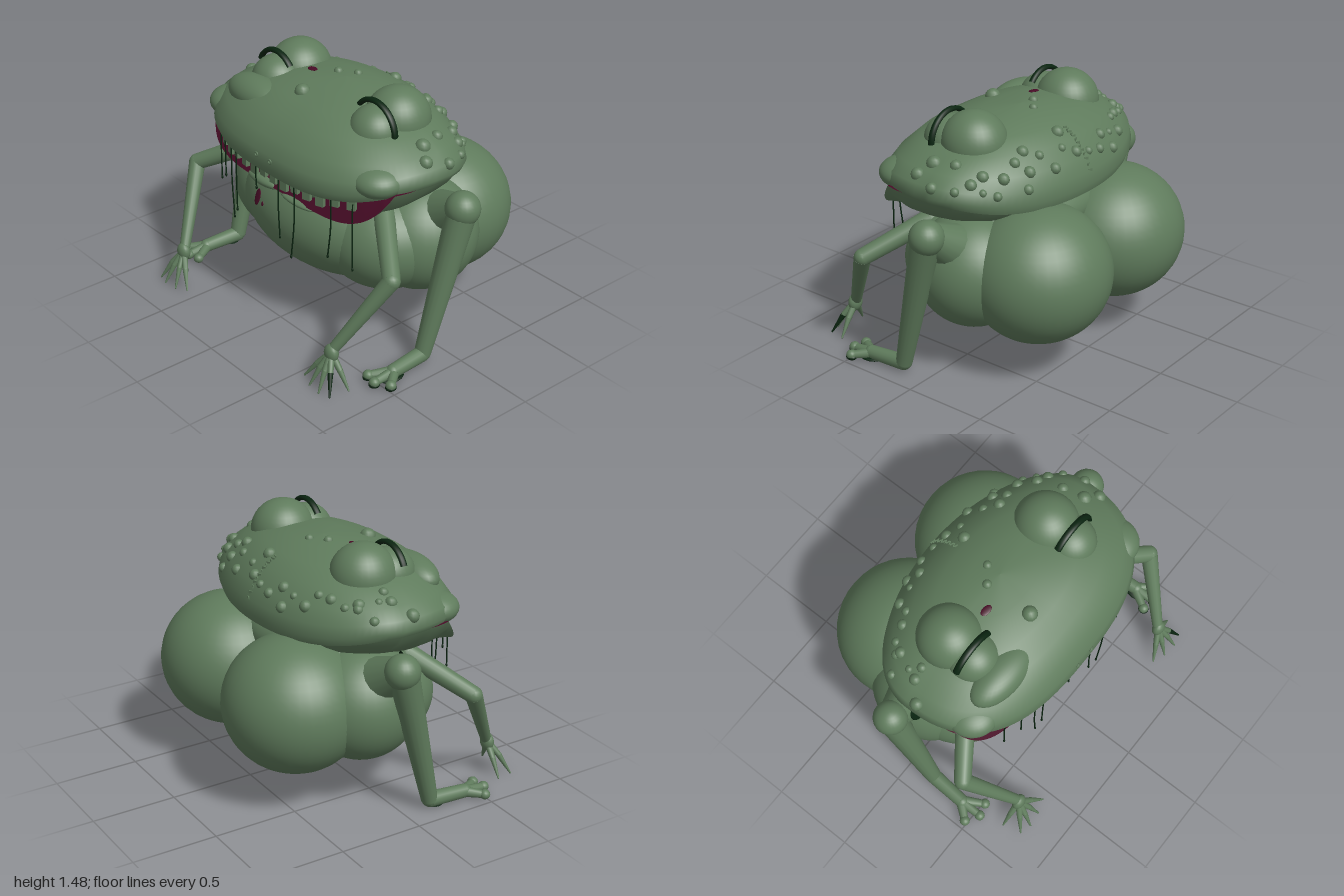
import * as THREE from 'three';

export function createModel() {
  const root = new THREE.Group();
  const mat = (name, color, side = THREE.FrontSide) => {
    const m = new THREE.MeshStandardMaterial({ color, side });
    m.name = name;
    return m;
  };
  const skin = mat('toad green', 0x5f7b5c);
  const dark = mat('dark green', 0x0a2410);
  const flesh = mat('mouth maroon', 0x480c26, THREE.DoubleSide);
  const V = (x, y, z) => new THREE.Vector3(x, y, z);

  const add = (name, geo, m = skin, parent = root) => {
    const mesh = new THREE.Mesh(geo, m);
    mesh.name = name;
    parent.add(mesh);
    return mesh;
  };
  const group = (name, parent = root) => {
    const g = new THREE.Group();
    g.name = name;
    parent.add(g);
    return g;
  };
  const blob = (name, p, r, m = skin, parent = root, seg = 32) => {
    const mesh = add(name, new THREE.SphereGeometry(1, seg, Math.ceil(seg * 0.65)), m, parent);
    mesh.position.set(...p);
    mesh.scale.set(...r);
    return mesh;
  };
  // tapered round limb between two points
  const limb = (name, a, b, ra, rb, parent, m = skin, seg = 16) => {
    const A = V(...a), B = V(...b), d = B.clone().sub(A);
    const mesh = add(name, new THREE.CylinderGeometry(rb, ra, d.length(), seg), m, parent);
    mesh.position.copy(A).lerp(B, 0.5);
    mesh.quaternion.setFromUnitVectors(V(0, 1, 0), d.normalize());
    blob(name + 'Start', a, [ra, ra, ra], m, parent, seg);
    blob(name + 'End', b, [rb, rb, rb], m, parent, seg);
  };
  // loft of scaled rings over a rounded footprint, listed bottom to top
  const loft = (foot, rings, yAt, seg = 96) => {
    const pos = [], idx = [];
    rings.forEach(([s, t], i) => {
      for (let j = 0; j < seg; j++) {
        const a = (j / seg) * Math.PI * 2, c = Math.cos(a), n = Math.sin(a);
        const e = 2 / (n > 0 ? foot.nf : foot.nb), rz = n > 0 ? foot.front : foot.back;
        const x = s * foot.rx * Math.sign(c) * Math.abs(c) ** e;
        const z = s * rz * Math.sign(n) * Math.abs(n) ** e;
        pos.push(x, yAt(x, z, t), z);
        if (i < rings.length - 1) {
          const p = i * seg + j, q = i * seg + (j + 1) % seg;
          idx.push(p, p + seg, q, p + seg, q + seg, q);
        }
      }
    });
    const g = new THREE.BufferGeometry();
    g.setAttribute('position', new THREE.Float32BufferAttribute(pos, 3));
    g.setIndex(idx);
    g.computeVertexNormals();
    return g;
  };

  // body
  const body = group('body');
  blob('belly', [0, 0.62, 0.1], [0.65, 0.355, 0.415], skin, body, 40);
  blob('neck', [0, 0.85, -0.08], [0.62, 0.2, 0.36], skin, body);
  for (const s of [-1, 1]) {
    blob('bellyLobe', [s * 0.39, 0.6, 0.07], [0.39, 0.315, 0.34], skin, body, 40);
    blob('rump', [s * 0.36, 0.605, -0.41], [0.42, 0.395, 0.41], skin, body, 40);
    blob('flank', [s * 0.54, 0.61, -0.09], [0.33, 0.335, 0.34], skin, body, 40);
  }

  // skull
  const head = group('head');
  const top = { rx: 0.84, front: 0.6, back: 0.5, nf: 2.6, nb: 2 };
  const dome = [[0.97, 0], [1, 0.12], [0.98, 0.3], [0.9, 0.5], [0.75, 0.72], [0.55, 0.87], [0.3, 0.97], [0, 1]];
  const lipY = x => 0.99 + 0.08 * Math.min(1, Math.abs(x) / 0.8) ** 4;
  const skullY = (x, z, t) => lipY(x) * (1 - t) + 1.4 * t;
  add('skull', loft(top, [[0, 0], [0.5, 0], [0.96, 0], [0.97, 0], ...dome], skullY), skin, head);
  const skullPoint = (x, z) => {
    const n = z > 0 ? top.nf : top.nb, rz = z > 0 ? top.front : top.back;
    const s = ((Math.abs(x) / top.rx) ** n + (Math.abs(z) / rz) ** n) ** (1 / n);
    for (let i = 1; i < dome.length - 1; i++) {
      const [s0, t0] = dome[i], [s1, t1] = dome[i + 1];
      if (s <= s0 && s >= s1) return [x, skullY(x, z, t0 + (t1 - t0) * (s0 - s) / (s0 - s1)), z];
    }
    return [x, skullY(x, z, 0.12), z];
  };
  const lipZ = x => 0.582 * (1 - (Math.abs(x) / 0.815) ** 2.6) ** (1 / 2.6);

  // lower jaw with sloping open mouth
  const low = { rx: 0.805, front: 0.49, back: 0.47, nf: 4.5, nb: 2 };
  const jawLip = z => Math.min(1.075, 1.06 - (z - 0.33) * 1.4);
  const jawBase = (x, z) => Math.min(0.79 + 0.06 * (x / 0.8) ** 2 + 0.12 * Math.max(0, 0.2 - z), jawLip(z) - 0.02);
  const jawY = (x, z, t) => jawBase(x, z) * (1 - t) + jawLip(z) * t;
  add('lowerJaw', loft(low, [[0, 0], [0.5, 0.04], [0.75, 0.18], [0.88, 0.42], [0.96, 0.7], [1, 1]], jawY), skin, head);
  add('mouthLining', loft(low, [[1, 1], [0.9, 1], [0.75, 1], [0.5, 1], [0, 1]], jawY), flesh, head);
  limb('tongue', [-0.21, 0.925, 0.415], [0.23, 0.925, 0.415], 0.056, 0.056, head);
  blob('lowerLip', [-0.17, 0.835, 0.465], [0.14, 0.032, 0.045], skin, head, 20);
  blob('lowerLip', [0.14, 0.827, 0.465], [0.15, 0.022, 0.045], skin, head, 20);

  // upper teeth
  const teeth = group('teeth', head);
  for (let i = 0; i < 14; i++) {
    const x = -0.58 + i * 0.0892, h = 0.045 + 0.01 * ((i * 7) % 3);
    const t = add('tooth', new THREE.BoxGeometry(0.05, h + 0.03, 0.025), skin, teeth);
    t.position.set(x, lipY(x) - h / 2 + 0.015, lipZ(x) - 0.025);
    t.rotation.y = Math.atan2(x * 0.5, 0.6);
  }

  // drool strands: top x, bottom x, bottom y
  const drool = group('droolStrands', head);
  for (const [x, x2, y] of [[-0.56, -0.565, 0.69], [-0.46, -0.465, 0.76], [-0.37, -0.36, 0.54], [-0.31, -0.315, 0.61],
    [-0.1, -0.1, 0.85], [0.1, 0.105, 0.62], [0.23, 0.195, 0.53], [0.48, 0.45, 0.63], [0.595, 0.595, 0.59]]) {
    const z = lipZ(x) - 0.01;
    const path = new THREE.CatmullRomCurve3([V(x, 1, z), V(x - 0.004, (1 + y) / 2, z), V(x2, y, z)]);
    add('strand', new THREE.TubeGeometry(path, 8, 0.0045, 6), dark, drool);
    blob('droplet', [x2, y, z], [0.007, 0.012, 0.007], dark, drool, 8);
  }

  // eyes, brows and cheeks
  for (const s of [-1, 1]) {
    const eye = group(s > 0 ? 'leftEye' : 'rightEye', head);
    blob('eyeDome', [s * 0.425, 1.3, -0.01], [0.185, 0.185, 0.19], skin, eye);
    blob('eyeball', [s * 0.43, 1.285, 0.15], [0.15, 0.14, 0.155], skin, eye);
    const lid = add('eyelidRim', new THREE.TorusGeometry(0.162, 0.015, 10, 32, s > 0 ? 2.45 : 2), dark, eye);
    lid.position.set(s * 0.43, 1.292, 0.157);
    lid.scale.z = 1.35;
    if (s < 0) lid.rotation.z = Math.PI - 2.45;
    blob('cheek', [s * 0.635, 1.115, 0.31], [0.15, 0.09, 0.15], skin, head);
    const nostril = add('nostril', new THREE.TorusGeometry(0.012, 0.004, 8, 16), skin, head);
    nostril.position.set(s * 0.06, 1.085, 0.596);
  }
  blob('lowerLidBulge', [-0.39, 1.245, 0.32], [0.24, 0.105, 0.125], skin, head);

  // warts: placed ones, then a seeded scatter round the back rim
  const warts = group('warts', head);
  const wart = (x, z, r) => {
    const [px, py, pz] = skullPoint(x, z);
    blob('wart', [px * 0.99, py - r * 0.15, pz * 0.99], [r, r, r], skin, warts, 12);
  };
  for (const [x, z, r] of [[0.07, -0.31, 0.038], [0.4, -0.37, 0.035], [0.36, -0.29, 0.035], [0.55, -0.31, 0.035],
    [0.63, -0.23, 0.035], [-0.28, -0.44, 0.035], [-0.65, -0.18, 0.035], [-0.81, 0.06, 0.04], [0, -0.09, 0.026],
    [-0.09, -0.02, 0.028], [-0.07, 0.26, 0.046], [0.7, 0.05, 0.045], [0.78, 0.1, 0.04], [-0.72, -0.02, 0.035]]) wart(x, z, r);
  let seed = 11;
  const rnd = () => (seed = (seed * 16807) % 2147483647) / 2147483647;
  for (let i = 0; i < 24; i++) {
    const a = Math.PI * (1 + (i + 0.5) / 24), s = 0.78 + 0.21 * rnd();
    wart(s * top.rx * Math.cos(a), s * top.back * Math.sin(a), 0.022 + 0.016 * rnd());
  }

  // stitched seam at the back of the head
  const seam = group('stitches', head);
  for (let i = 0; i < 13; i++) {
    const st = add('stitch', new THREE.BoxGeometry(0.024, 0.016, 0.007), skin, seam);
    st.position.set(...skullPoint(0, -0.31 - i * 0.0148));
    st.rotation.y = i % 2 ? 0.35 : -0.35;
  }

  // thin blotches lying on the skin
  const spot = (p, n, w, h, m = flesh) => {
    const b = blob('blotch', p, [w, h, 0.0049], m, root, 14);
    b.quaternion.setFromUnitVectors(V(0, 0, 1), V(...n).normalize());
  };
  const crown = skullPoint(-0.21, 0.07);
  spot([crown[0], crown[1] + 0.004, crown[2]], [-0.08, 1, 0.05], 0.038, 0.022);
  spot([-0.21, 0.71, 0.484], [-0.27, 0.69, 2.15], 0.026, 0.05);
  spot([-0.155, 0.69, 0.493], [-0.2, 0.54, 2.2], 0.01, 0.014);
  spot([-0.78, 0.905, 0.03], [-0.1, 0.3, 1], 0.05, 0.07, dark);

  for (const s of [-1, 1]) {
    const side = s > 0 ? 'left' : 'right';
    // hind leg, foot and round toes
    const leg = group(side + 'HindLeg');
    limb('thigh', [s * 0.62, 0.74, -0.1], [s * 0.88, 0.91, -0.065], 0.16, 0.085, leg);
    blob('knee', [s * 0.9, 0.915, -0.065], [0.1, 0.1, 0.1], skin, leg, 24);
    limb('shin', [s * 0.9, 0.87, -0.05], [s * 0.86, 0.06, 0.165], 0.085, 0.048, leg);
    limb('foot', [s * 0.86, 0.052, 0.17], [s * 0.875, 0.045, 0.4], 0.046, 0.04, leg);
    for (const [x, z] of [[0.955, 0.485], [0.875, 0.535], [0.8, 0.515]]) {
      limb('toe', [s * 0.875, 0.043, 0.39], [s * x, 0.032, z], 0.032, 0.022, leg, skin, 12);
      blob('toeTip', [s * x, 0.033, z], [0.031, 0.029, 0.031], skin, leg, 14);
      if (s > 0) blob('toePad', [x, 0.02, z], [0.031, 0.019, 0.034], dark, leg, 12);
    }
    // dark sole: broad under the left foot, small at the right heel
    if (s > 0) blob('solePad', [0.874, 0.014, 0.41], [0.055, 0.013, 0.08], dark, leg, 14);
    else blob('heelPad', [-0.862, 0.008, 0.21], [0.03, 0.0049, 0.045], dark, leg, 14);

    // front arm, hand and pointed fingers
    const arm = group(side + 'Arm');
    limb('upperArm', [s * 0.56, 0.83, 0.2], [s * 0.885, 0.645, 0.43], 0.06, 0.05, arm);
    limb('forearm', [s * 0.885, 0.645, 0.43], [s * 0.7, 0.23, 0.675], 0.05, 0.032, arm);
    blob('palm', [s * 0.695, 0.2, 0.69], [0.048, 0.055, 0.036], skin, arm, 16);
    for (const [x, y, z] of [[0.83, 0.02, 0.68], [0.8, 0.01, 0.79], [0.73, 0.01, 0.81], [0.64, 0.01, 0.8], [0.56, 0.02, 0.77]]) {
      const mid = [s * (0.695 + (x - 0.695) * 0.5), 0.12, 0.69 + (z - 0.69) * 0.5];
      limb('finger', [s * 0.695, 0.2, 0.69], mid, 0.022, 0.017, arm, skin, 10);
      limb('fingertip', mid, [s * x, y, z], 0.017, 0.005, arm, s > 0 && x === 0.8 ? dark : skin, 10);
    }
  }
  return root;
}
